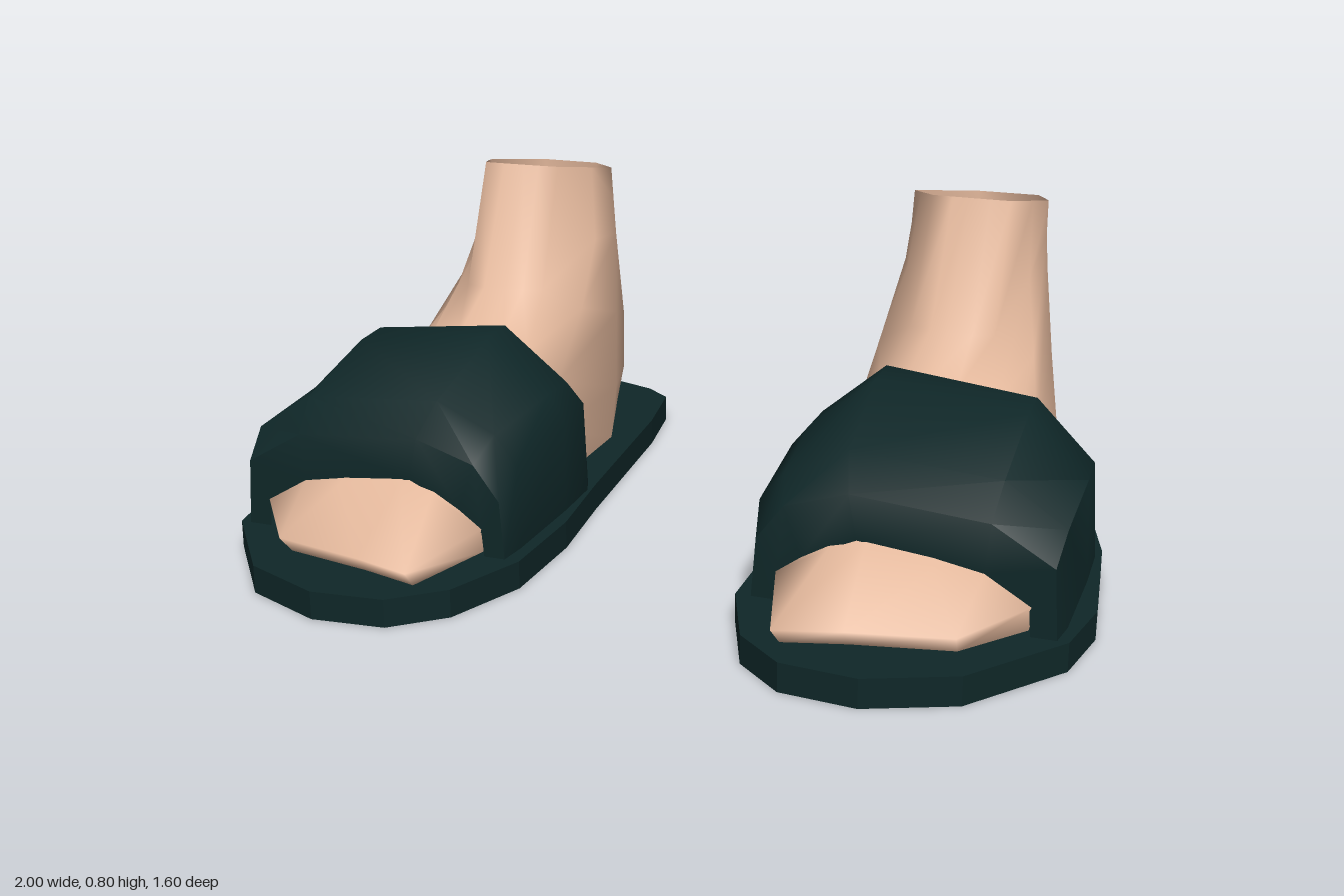
import * as THREE from 'three';
import { toCreasedNormals } from 'three/addons/utils/BufferGeometryUtils.js';

const SOLE_TOP = 0.065;
const skin = new THREE.MeshStandardMaterial({ color: 0xe3b89c, side: THREE.DoubleSide });
skin.name = 'skin';
const rubber = new THREE.MeshStandardMaterial({ color: 0x0f2728, side: THREE.DoubleSide });
rubber.name = 'darkRubber';

// Joins rows of [x, y, z] points; side = -1 mirrors the surface in x
function loft(rows, closed, side) {
  const n = rows[0].length, index = [];
  const pos = rows.flat().flatMap(([x, y, z]) => [x * side, y, z]);
  for (let r = 0; r < rows.length - 1; r++) {
    for (let i = 0; i < (closed ? n : n - 1); i++) {
      const j = (i + 1) % n;
      const a = r * n + i, b = r * n + j, c = a + n, d = b + n;
      if (side > 0) index.push(a, c, b, b, c, d);
      else index.push(a, b, c, b, d, c);
    }
  }
  const g = new THREE.BufferGeometry();
  g.setAttribute('position', new THREE.Float32BufferAttribute(pos, 3));
  g.setIndex(index);
  g.computeVertexNormals();
  return g;
}

// Sole outline as x, z
const soleOutline = [
  [0.56, -0.8], [0.72, -0.75], [0.8, -0.57], [0.96, 0], [1, 0.33], [0.97, 0.5],
  [0.8, 0.72], [0.61, 0.8], [0.44, 0.785], [0.33, 0.69], [0.255, 0.5], [0.25, 0.25],
  [0.28, 0], [0.325, -0.5], [0.36, -0.7], [0.43, -0.755],
];

// Foot rings run heel, outer side, toes, inner side
const footWall = [
  [0.48, 0.15, -0.685], [0.63, 0.15, -0.7], [0.73, 0.15, -0.56], [0.87, 0.14, 0.01],
  [0.89, 0.13, 0.5], [0.77, 0.11, 0.655], [0.55, 0.11, 0.7], [0.41, 0.11, 0.74],
  [0.345, 0.13, 0.5], [0.37, 0.2, 0.02], [0.37, 0.2, -0.36],
];
const footUpper = [
  [0.48, 0.3, -0.69], [0.63, 0.3, -0.71], [0.75, 0.38, -0.45], [0.8, 0.31, 0],
  [0.79, 0.19, 0.5], [0.69, 0.2, 0.52], [0.54, 0.225, 0.5], [0.46, 0.2, 0.51],
  [0.4, 0.17, 0.5], [0.375, 0.32, 0], [0.37, 0.4, -0.37],
];
const footInstep = [
  [0.51, 0.59, -0.605], [0.65, 0.59, -0.605], [0.735, 0.6, -0.41], [0.75, 0.45, -0.19],
  [0.71, 0.4, 0.03], [0.62, 0.42, 0.05], [0.55, 0.43, 0.05], [0.5, 0.43, 0.05],
  [0.44, 0.4, 0.03], [0.385, 0.46, -0.18], [0.385, 0.6, -0.41],
];
const footAnkle = [
  [0.52, 0.66, -0.605], [0.66, 0.66, -0.605], [0.73, 0.69, -0.4], [0.71, 0.6, -0.31],
  [0.67, 0.51, -0.12], [0.62, 0.51, -0.11], [0.56, 0.51, -0.11], [0.52, 0.51, -0.12],
  [0.47, 0.51, -0.13], [0.41, 0.6, -0.33], [0.395, 0.69, -0.42],
];
// Sloping ankle opening as x, z
const ankleOpening = [
  [0.52, -0.605], [0.67, -0.605], [0.73, -0.4], [0.705, -0.33], [0.67, -0.245], [0.62, -0.245],
  [0.57, -0.25], [0.53, -0.255], [0.48, -0.265], [0.43, -0.36], [0.4, -0.42],
];

// Strap arches from front lip to back lip: z at the base, forward lean, outline in x, y
const strapArches = [
  [0.5, 0, [[0.89, 0.065], [0.885, 0.13], [0.79, 0.19], [0.52, 0.225], [0.4, 0.17], [0.345, 0.12], [0.34, 0.065]]],
  [0.5, 0, [[0.945, 0.065], [0.935, 0.22], [0.8, 0.3], [0.5, 0.325], [0.36, 0.28], [0.3, 0.2], [0.29, 0.065]]],
  [0.43, 0, [[0.955, 0.065], [0.945, 0.28], [0.81, 0.37], [0.48, 0.395], [0.34, 0.33], [0.285, 0.26], [0.283, 0.065]]],
  [0.18, 0, [[0.955, 0.065], [0.945, 0.3], [0.81, 0.435], [0.47, 0.475], [0.32, 0.35], [0.28, 0.3], [0.28, 0.065]]],
  [0.04, 0.12, [[0.95, 0.065], [0.94, 0.3], [0.81, 0.44], [0.47, 0.48], [0.32, 0.35], [0.285, 0.3], [0.285, 0.065]]],
  [0, 0.09, [[0.94, 0.065], [0.92, 0.28], [0.79, 0.4], [0.48, 0.42], [0.34, 0.33], [0.3, 0.28], [0.3, 0.065]]],
  [0, 0.12, [[0.86, 0.065], [0.85, 0.16], [0.75, 0.34], [0.53, 0.41], [0.42, 0.38], [0.37, 0.24], [0.37, 0.065]]],
];

function makeSole(side) {
  const shape = new THREE.Shape(soleOutline.map(([x, z]) => new THREE.Vector2(x * side, -z)));
  const g = new THREE.ExtrudeGeometry(shape, { depth: SOLE_TOP, bevelEnabled: false });
  return g.rotateX(-Math.PI / 2);
}

function makeFoot(side) {
  const base = footWall.map(([x, , z]) => [0.6 + (x - 0.6) * 0.97, SOLE_TOP, z * 0.94]);
  const top = ankleOpening.map(([x, z]) => [x, 0.8 + (z + 0.24) * 0.167, z]);
  return loft([base, footWall, footUpper, footInstep, footAnkle, top], true, side);
}

function makeStrap(side) {
  const rows = strapArches.map(([z, lean, pts]) => pts.map(([x, y]) => [x, y, z + lean * (y - SOLE_TOP)]));
  return toCreasedNormals(loft(rows, false, side), 0.85);
}

export function createModel() {
  const model = new THREE.Group();
  model.name = 'feetInSandals';
  for (const [label, side] of [['left', 1], ['right', -1]]) {
    const group = new THREE.Group();
    group.name = label + 'SandalAndFoot';
    const parts = [
      ['Sole', makeSole(side), rubber],
      ['Foot', makeFoot(side), skin],
      ['Strap', makeStrap(side), rubber],
    ];
    for (const [name, geometry, material] of parts) {
      const mesh = new THREE.Mesh(geometry, material);
      mesh.name = label + name;
      group.add(mesh);
    }
    model.add(group);
  }
  return model;
}
